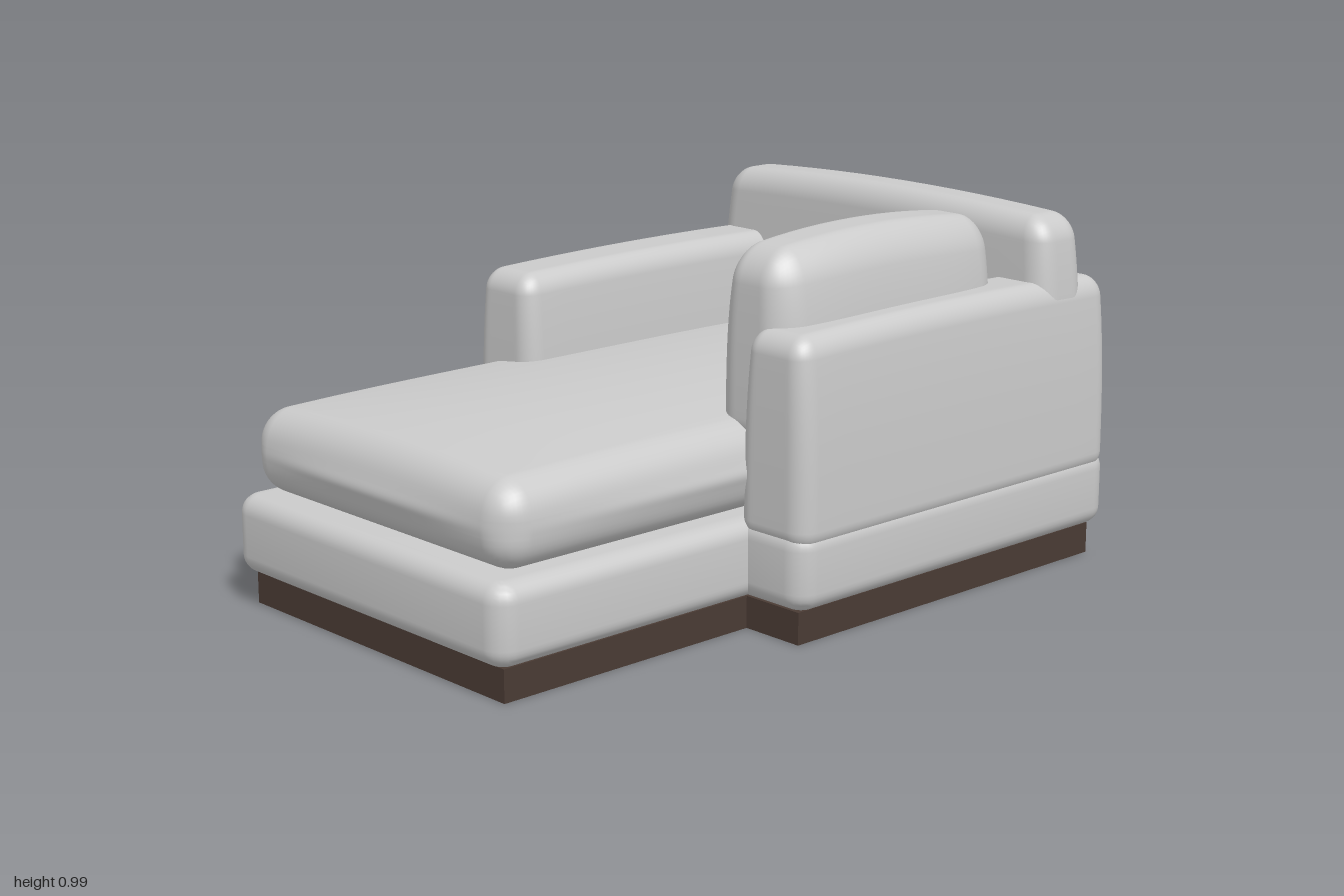
import * as THREE from 'three';
import { mergeVertices, toCreasedNormals } from 'three/addons/utils/BufferGeometryUtils.js';

// Rounded padded block between two corners; deform(p, n) reshapes each point, n being its -1..1 position
function padded(min, max, r, deform) {
  const SEG = 22, EDGE = 5;
  const lo = new THREE.Vector3(...min), hi = new THREE.Vector3(...max);
  const centre = lo.clone().add(hi).multiplyScalar(0.5);
  const half = hi.clone().sub(lo).multiplyScalar(0.5);
  const inner = half.clone().subScalar(r);
  const place = (t, h) => { // dense rows in the rounded edges, even rows between
    const k = Math.round((Math.abs(t) * SEG) / 2);
    const flat = SEG / 2 - EDGE;
    const a = k <= flat ? ((h - r) * k) / flat : h - r + r * Math.tan((Math.PI / 4) * (k - flat) / EDGE);
    return Math.sign(t) * a;
  };
  let geo = new THREE.BoxGeometry(2, 2, 2, SEG, SEG, SEG);
  geo.deleteAttribute('normal');
  geo.deleteAttribute('uv');
  geo = mergeVertices(geo, 1e-4);
  const pos = geo.attributes.position;
  const p = new THREE.Vector3(), core = new THREE.Vector3();
  for (let i = 0; i < pos.count; i++) {
    p.fromBufferAttribute(pos, i);
    p.set(place(p.x, half.x), place(p.y, half.y), place(p.z, half.z));
    core.copy(p).clamp(inner.clone().negate(), inner);
    p.sub(core).normalize().multiplyScalar(r).add(core);
    deform(p, p.clone().divide(half));
    p.add(centre);
    pos.setXYZ(i, p.x, p.y, p.z);
  }
  geo.computeVertexNormals();
  return geo;
}

// L-shaped plan, drawn as (x, -z), with softened outer corners
function planShape(left, seatRight, right, back, step, front, r) {
  const pts = [[left, -front], [seatRight, -front], [seatRight, -step], [right, -step], [right, -back], [left, -back]];
  const s = new THREE.Shape();
  pts.forEach(([x, y], i) => {
    const prev = pts[(i + 5) % 6], next = pts[(i + 1) % 6];
    const c = i === 2 ? 0 : r;
    const ax = x + Math.sign(prev[0] - x) * c, ay = y + Math.sign(prev[1] - y) * c;
    const bx = x + Math.sign(next[0] - x) * c, by = y + Math.sign(next[1] - y) * c;
    if (i === 0) s.moveTo(ax, ay); else s.lineTo(ax, ay);
    if (c) s.quadraticCurveTo(x, y, bx, by);
  });
  s.closePath();
  return s;
}

export function createModel() {
  const model = new THREE.Group();
  model.name = 'chaiseSofa';
  const fabric = new THREE.MeshStandardMaterial({ name: 'light grey fabric', color: 0xcacaca });
  const wood = new THREE.MeshStandardMaterial({ name: 'dark brown wood', color: 0x4a3b34 });
  const add = (name, geo, mat = fabric) => {
    const mesh = new THREE.Mesh(geo, mat);
    mesh.name = name;
    model.add(mesh);
  };

  // Wooden plinth
  const plinth = new THREE.ExtrudeGeometry(planShape(-0.595, 0.41, 0.592, -0.955, 0.17, 0.955, 0), { depth: 0.085, bevelEnabled: false });
  plinth.rotateX(-Math.PI / 2);
  add('plinth', plinth, wood);

  // Upholstered base with rolled edges
  const B = 0.05;
  const base = new THREE.ExtrudeGeometry(
    planShape(-0.635 + B, 0.447 - B, 0.632 - B, -0.992 + B, 0.203 - B, 0.997 - B, 0.012),
    { depth: 0.21 - 2 * B, bevelEnabled: true, bevelSize: B, bevelThickness: B, bevelSegments: 8, curveSegments: 6 });
  base.rotateX(-Math.PI / 2);
  base.translate(0, 0.087 + B, 0);
  add('upholsteredBase', toCreasedNormals(base, 0.9));

  // Long domed seat cushion with slightly pinched seams
  add('seatCushion', padded([-0.605, 0.3, -0.97], [0.425, 0.52, 0.96], 0.085, (p, n) => {
    if (n.y > 0) p.y += 0.045 * n.y * (1 - n.x * n.x) * (1 - n.z ** 4 * 0.85);
    const pinch = Math.exp(-((n.y / 0.25) ** 2)) * 0.012;
    if (Math.abs(n.x) > 0.95) p.x += Math.sign(n.x) * pinch * (1 - n.z * n.z);
    if (Math.abs(n.z) > 0.97) p.z += Math.sign(n.z) * pinch * (1 - n.x * n.x);
  }));

  // Arms, narrowing upward
  for (const [name, side] of [['leftArm', 1], ['rightArm', -1]]) {
    const x = side * 0.515;
    add(name, padded([x - 0.118, 0.24, -0.985], [x + 0.118, 0.778, 0.2], 0.055, (p, n) => {
      const up = (n.y + 1) / 2;
      p.x *= 1 - 0.2 * up ** 3;
      p.z *= 1 - 0.015 * up ** 3;
      if (n.y > 0) p.y += 0.012 * n.y * (1 - n.z * n.z);
    }));
  }

  // Backrest cushion resting between and over the arms
  add('backCushion', padded([-0.622, 0.4, -0.9], [0.622, 0.955, -0.7], 0.065, (p, n) => {
    const up = (n.y + 1) / 2;
    p.x *= 1 - 0.055 * up ** 3;
    p.z *= 1 - 0.17 * up ** 2;
    if (n.y > 0) p.y += 0.02 * n.y * (1 - n.x * n.x);
  }));

  // Loose cushion leaning along the left arm
  add('sideCushion', padded([0.25, 0.45, -0.66], [0.54, 0.96, 0.16], 0.085, (p, n) => {
    const up = (n.y + 1) / 2;
    p.x *= (1 - 0.33 * up ** 4) * (1 - 0.22 * n.z ** 4);
    p.z *= 1 - 0.03 * up ** 3;
    if (n.y > 0) p.y += 0.028 * n.y * (1 - n.z * n.z);
  }));

  return model;
}
